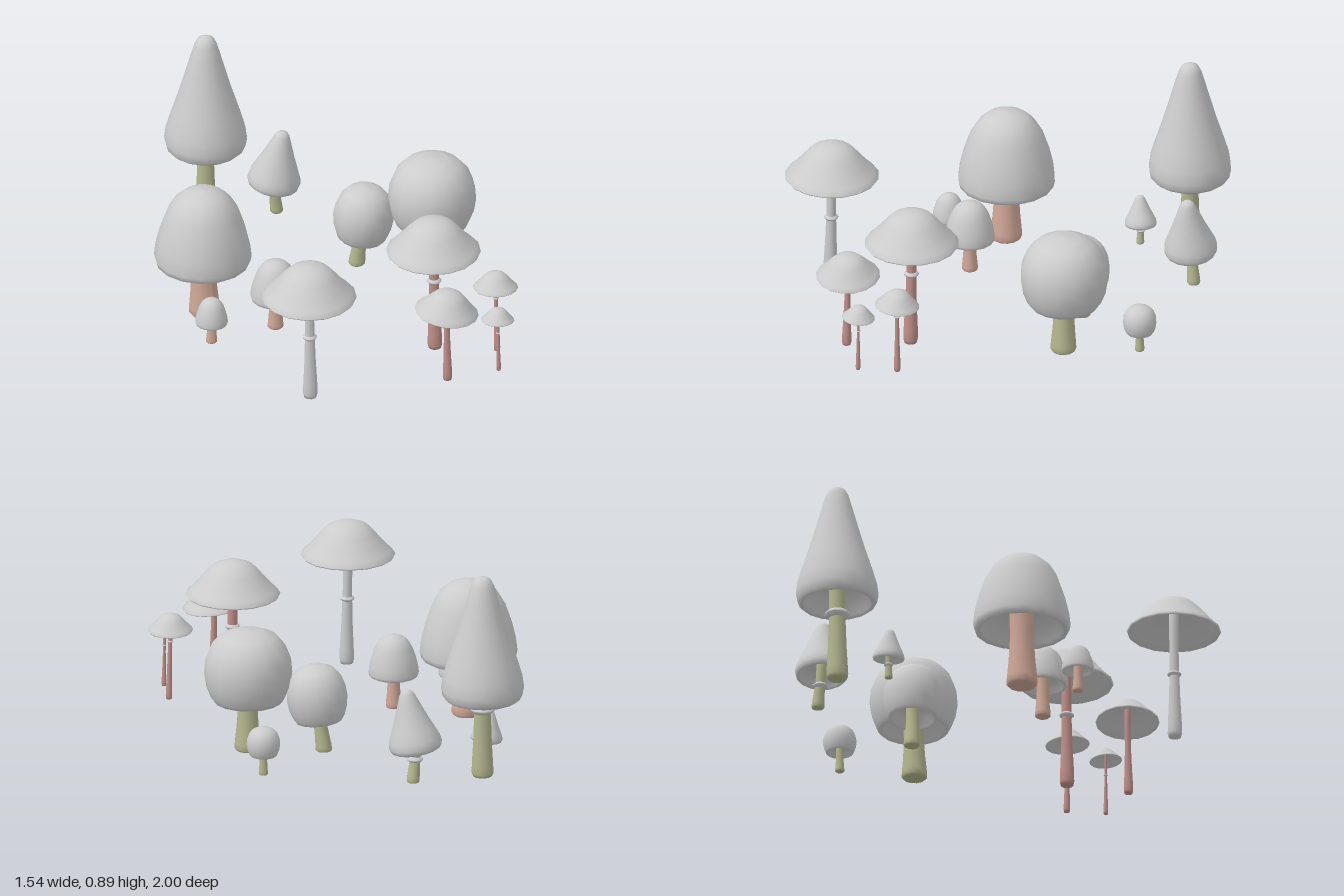
import * as THREE from 'three';

// Cap profiles as [radius, height] fractions: hollow underside, rim, outer skin up to the tip
const PROFILES = {
  cone: [[0, 0.2], [0.4, 0.19], [0.68, 0.12], [0.8, 0.02], [0.88, 0], [0.96, 0.025], [1, 0.09], [0.96, 0.19],
    [0.83, 0.33], [0.66, 0.5], [0.5, 0.68], [0.37, 0.83], [0.28, 0.93], [0.2, 0.98], [0.1, 0.998], [0, 1]],
  dome: [[0, 0.3], [0.4, 0.28], [0.7, 0.18], [0.82, 0.03], [0.9, 0], [0.97, 0.02], [1, 0.09], [0.97, 0.25],
    [0.89, 0.45], [0.75, 0.69], [0.6, 0.84], [0.42, 0.935], [0.2, 0.985], [0, 1]],
  ball: [[0, 0.25], [0.35, 0.23], [0.58, 0.14], [0.68, 0.02], [0.77, 0], [0.85, 0.06], [0.95, 0.21], [1, 0.4],
    [0.97, 0.59], [0.85, 0.77], [0.64, 0.905], [0.34, 0.98], [0, 1]],
  parasol: [[0, 0.62], [0.3, 0.55], [0.6, 0.33], [0.85, 0.11], [0.97, 0], [1, 0.05], [0.9, 0.17], [0.74, 0.4],
    [0.56, 0.68], [0.42, 0.86], [0.26, 0.95], [0.12, 0.99], [0, 1]],
};
const SIDES = 16;

const lathe = (points, sides) =>
  new THREE.LatheGeometry(points.map(([r, y]) => new THREE.Vector2(r, y)), sides);

function makeMesh(geometry, material, name) {
  const mesh = new THREE.Mesh(geometry, material);
  mesh.name = name;
  return mesh;
}

// base and cap: [x, z]; y: [cap bottom, cap top]; stem: [foot radius, neck radius]; lean: [toward +x, toward +z]
function makeMushroom({ name, type, base, cap = base, y, r, stem, stemMat, capMat, lean = [0, 0], collar }) {
  const group = new THREE.Group();
  group.name = name;
  const [bottom, top] = y, h = top - bottom;
  const profile = PROFILES[type];

  // Cap
  const capMesh = makeMesh(lathe(profile.map(([a, b]) => [a * r, b * h]), SIDES), capMat, 'cap');
  capMesh.position.set(cap[0], bottom, cap[1]);
  capMesh.rotation.set(lean[1], 0, -lean[0]);
  group.add(capMesh);

  // Stem with a swollen foot, curving gently from the base to the cap
  const [foot, neck] = stem;
  const stemTop = bottom + (profile[0][1] + 0.08) * h;
  const mid = foot * 0.4 + neck * 0.6;
  const stemGeo = lathe([[0, 0], [foot * 0.85, 0], [foot, 0.03 * stemTop], [foot * 0.98, 0.1 * stemTop],
    [mid, 0.3 * stemTop], [neck, 0.55 * stemTop], [neck, 0.8 * stemTop], [neck, stemTop], [0, stemTop]], 12);
  const offset = (h0) => {
    const t = Math.pow(Math.min(h0 / bottom, 1), 1.4);
    return [(cap[0] - base[0]) * t, (cap[1] - base[1]) * t];
  };
  const pos = stemGeo.attributes.position;
  for (let i = 0; i < pos.count; i++) {
    const [dx, dz] = offset(pos.getY(i));
    pos.setX(i, pos.getX(i) + dx);
    pos.setZ(i, pos.getZ(i) + dz);
  }
  stemGeo.computeVertexNormals();
  const stemMesh = makeMesh(stemGeo, stemMat, 'stem');
  stemMesh.position.set(base[0], 0, base[1]);
  group.add(stemMesh);

  // Flared collar around the stem
  if (collar) {
    const c = neck * 1.5, t = neck * 0.5;
    const ring = makeMesh(lathe([[neck * 0.8, -t * 1.2], [neck * 1.15, -t], [c, -t * 0.3], [c, t * 0.1],
      [neck * 1.2, t * 0.7], [neck * 0.8, t * 1.2]], 12), capMat, 'collar');
    const [dx, dz] = offset(collar);
    ring.position.set(base[0] + dx, collar, base[1] + dz);
    group.add(ring);
  }
  return group;
}

export function createModel() {
  const mat = (name, color) => {
    const m = new THREE.MeshStandardMaterial({ color });
    m.name = name;
    return m;
  };
  const capMat = mat('pale grey', 0xcccccc);
  const green = mat('moss green', 0xb4b78f);
  const tan = mat('pinkish tan', 0xd0a898);
  const rose = mat('dusty rose', 0xc0908a);

  const mushrooms = [
    // Conical group at the back
    { name: 'tallConeMushroom', type: 'cone', base: [0.085, -0.825], y: [0.345, 0.885], r: 0.175, stem: [0.047, 0.036], stemMat: green, collar: 0.3 },
    { name: 'mediumConeMushroom', type: 'cone', base: [0.342, -0.665], cap: [0.322, -0.665], y: [0.14, 0.405], r: 0.113, stem: [0.028, 0.022], stemMat: green, lean: [0.09, 0.14], collar: 0.1 },
    { name: 'smallConeMushroom', type: 'cone', base: [-0.08, -0.685], cap: [-0.083, -0.69], y: [0.08, 0.215], r: 0.068, stem: [0.017, 0.013], stemMat: green, lean: [-0.13, -0.06], collar: 0.06 },
    // Domed group on the right-hand side
    { name: 'largeDomeMushroom', type: 'dome', base: [-0.442, -0.25], cap: [-0.446, -0.255], y: [0.25, 0.6], r: 0.206, stem: [0.067, 0.052], stemMat: tan },
    { name: 'mediumDomeMushroom', type: 'dome', base: [-0.298, 0.037], y: [0.14, 0.322], r: 0.106, stem: [0.034, 0.026], stemMat: tan },
    { name: 'smallDomeMushroom', type: 'dome', base: [-0.58, -0.052], y: [0.09, 0.21], r: 0.069, stem: [0.024, 0.019], stemMat: tan },
    // Round group on the left-hand side
    { name: 'largeBallMushroom', type: 'ball', base: [0.515, 0.125], cap: [0.515, 0.12], y: [0.22, 0.537], r: 0.186, stem: [0.055, 0.043], stemMat: green },
    { name: 'mediumBallMushroom', type: 'ball', base: [0.305, -0.12], cap: [0.315, -0.103], y: [0.135, 0.38], r: 0.128, stem: [0.036, 0.029], stemMat: green, lean: [0.05, 0.08] },
    { name: 'smallBallMushroom', type: 'ball', base: [0.7, -0.138], y: [0.085, 0.21], r: 0.071, stem: [0.02, 0.016], stemMat: green },
    // Parasol group at the front
    { name: 'paleParasolMushroom', type: 'parasol', base: [-0.573, 0.56], cap: [-0.573, 0.553], y: [0.48, 0.635], r: 0.2, stem: [0.031, 0.02], stemMat: capMat, collar: 0.29 },
    { name: 'largeParasolMushroom', type: 'parasol', base: [0.088, 0.61], cap: [0.086, 0.603], y: [0.463, 0.617], r: 0.2, stem: [0.031, 0.021], stemMat: rose, collar: 0.325 },
    { name: 'mediumParasolMushroom', type: 'parasol', base: [-0.05, 0.842], cap: [-0.05, 0.835], y: [0.324, 0.425], r: 0.136, stem: [0.02, 0.013], stemMat: rose, lean: [0.09, 0.09] },
    { name: 'smallParasolMushroom', type: 'parasol', base: [0.266, 0.803], cap: [0.26, 0.8], y: [0.305, 0.378], r: 0.095, stem: [0.014, 0.009], stemMat: rose, lean: [0.05, -0.05], collar: 0.255 },
    { name: 'tinyParasolMushroom', type: 'parasol', base: [0.16, 0.93], cap: [0.158, 0.927], y: [0.243, 0.299], r: 0.07, stem: [0.01, 0.006], stemMat: rose, lean: [0.08, -0.04], collar: 0.18 },
  ];

  const group = new THREE.Group();
  group.name = 'mushroomRing';
  for (const spec of mushrooms) group.add(makeMushroom({ capMat, ...spec }));
  return group;
}
